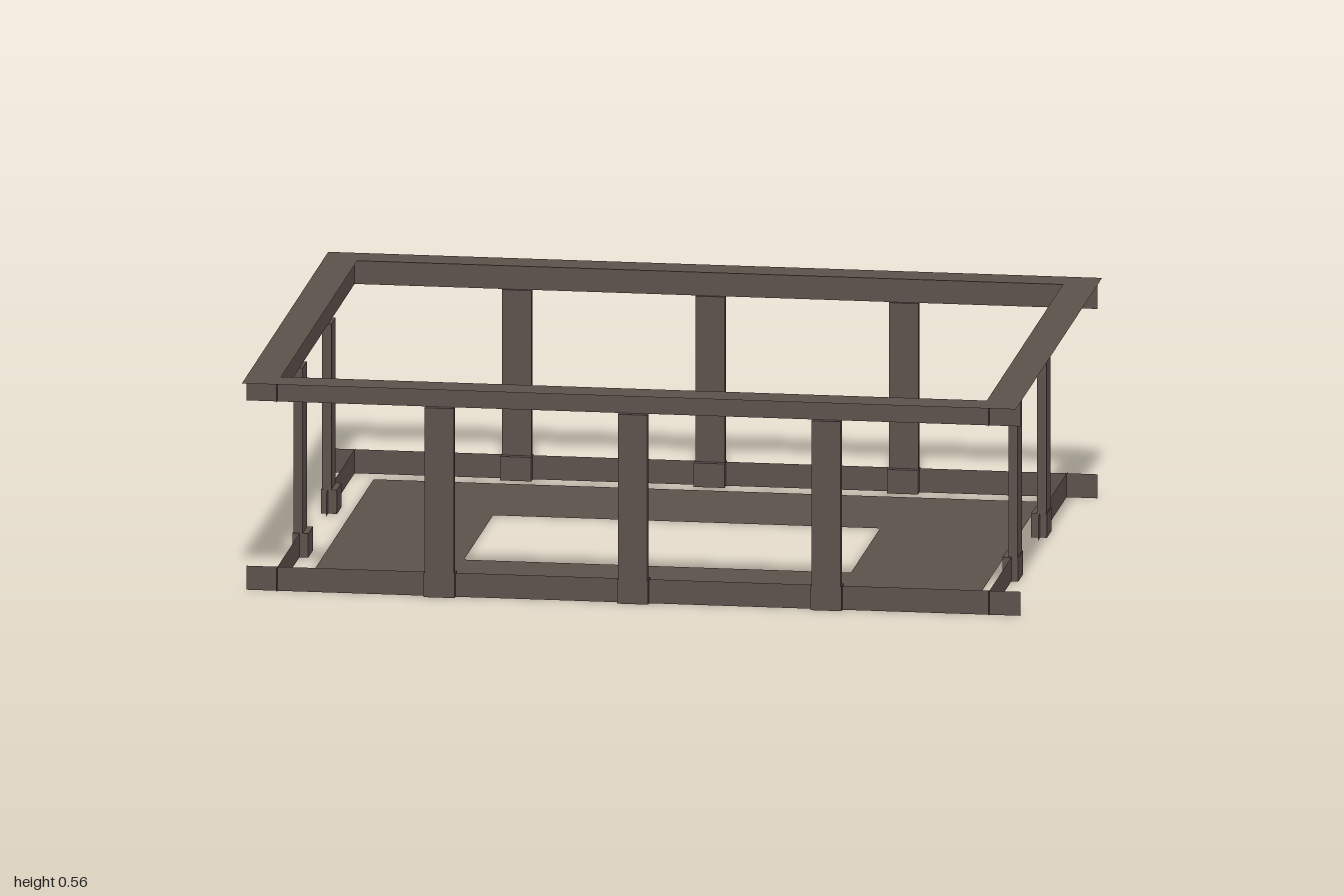
import * as THREE from 'three';

const H = 0.56;         // overall height
const BAND = 0.063;     // height of the base strips and top fascia
const FX = 0.92, FZ = 0.67; // planes of the side and front strips

export function createModel() {
  const bronze = new THREE.MeshStandardMaterial({ color: 0x5b514b, side: THREE.DoubleSide });
  bronze.name = 'dark bronze';
  const model = new THREE.Group();
  model.name = 'openFrame';

  const add = (name, geometry, x, y, z, turn = 0) => {
    const mesh = new THREE.Mesh(geometry, bronze);
    mesh.name = name;
    mesh.position.set(x, y, z);
    mesh.rotation.y = turn;
    model.add(mesh);
  };

  // Flat rectangular ring lying in the ground plane, given half sizes
  const ring = (ox, oz, ix, iz) => {
    const rect = (T, a, b) => new T([[-a, -b], [a, -b], [a, b], [-a, b]].map(p => new THREE.Vector2(...p)));
    const shape = rect(THREE.Shape, ox, oz);
    shape.holes.push(rect(THREE.Path, ix, iz));
    return new THREE.ShapeGeometry(shape).rotateX(-Math.PI / 2);
  };

  add('floor', ring(0.862, 0.61, 0.5, 0.253), 0, 0, 0);
  add('topRim', ring(1, 0.75, 0.912, 0.662), 0, H, 0);

  for (const s of [1, -1]) {
    const faceTurn = s > 0 ? 0 : Math.PI;
    const sideTurn = s * Math.PI / 2;

    // Long strips on the front and back, overshooting the corners
    const long = new THREE.PlaneGeometry(2, BAND);
    add('longFascia', long, 0, H - BAND / 2, s * FZ, faceTurn);
    add('longBaseStrip', long, 0, BAND / 2, s * FZ, faceTurn);

    // Side strips; the base ones leave an opening in the middle
    add('sideFascia', new THREE.PlaneGeometry(1.372, BAND), s * FX, H - BAND / 2, 0, sideTurn);
    for (const e of [1, -1]) {
      add('sideBaseStrip', new THREE.PlaneGeometry(0.511, BAND), s * FX, BAND / 2, e * 0.4305, sideTurn);
    }

    // Posts with a foot bracket that wraps the base strip
    const post = new THREE.BoxGeometry(0.076, H - 2 * BAND, 0.024);
    const bracket = new THREE.BoxGeometry(0.08, BAND, 0.041);
    for (const x of [-0.5, 0, 0.5]) {
      add('longPost', post, x, H / 2, s * 0.674, faceTurn);
      add('longPostBracket', bracket, x, BAND / 2, s * 0.6655, faceTurn);
    }
    for (const z of [-0.25, 0.25]) {
      add('sidePost', post, s * 0.924, H / 2, z, sideTurn);
      add('sidePostBracket', bracket, s * 0.9175, BAND / 2, z, sideTurn);
    }
  }
  return model;
}
